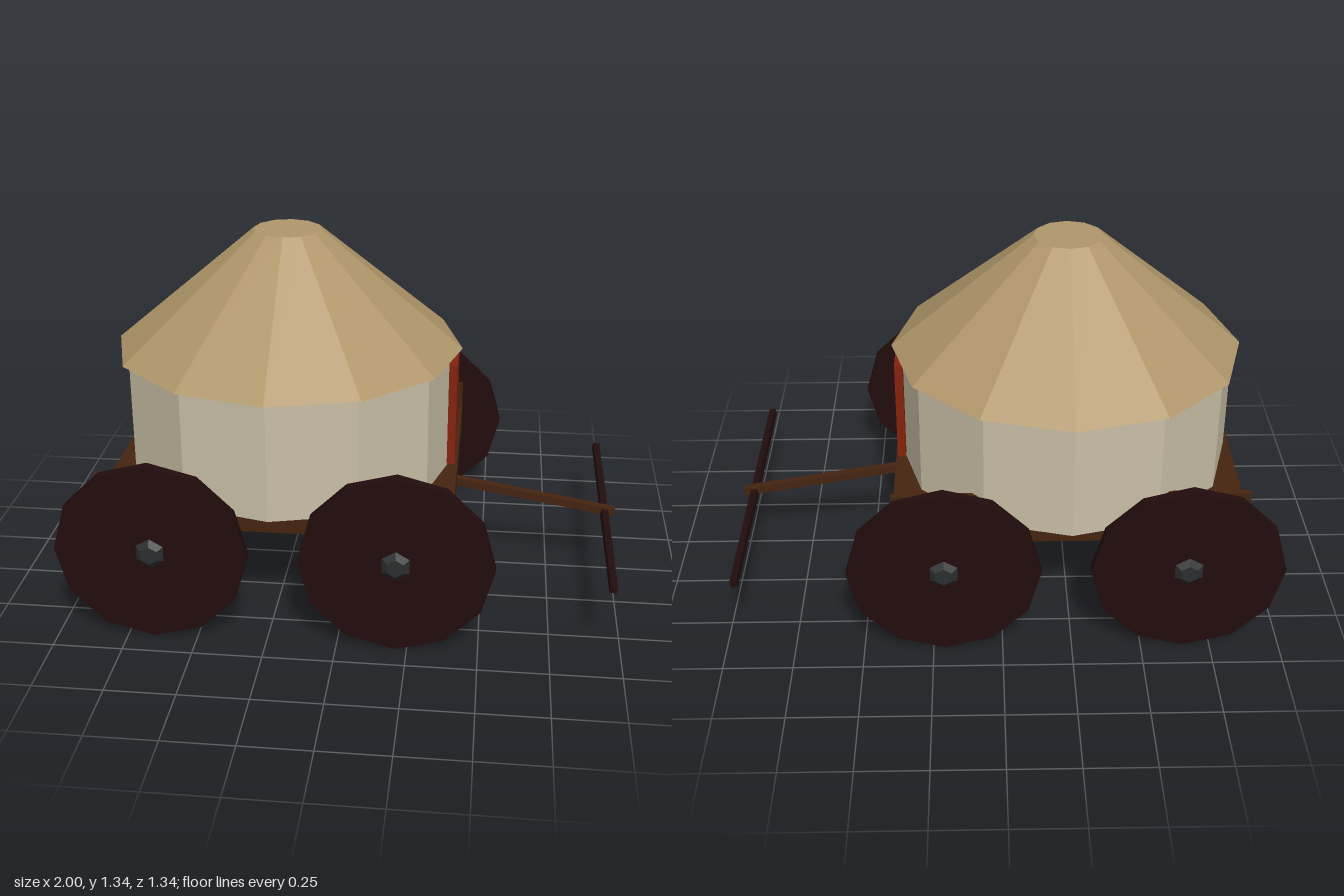
import * as THREE from 'three';

const mat = (name, color) => {
  const m = new THREE.MeshStandardMaterial({ color, flatShading: true });
  m.name = name;
  return m;
};

export function createModel() {
  const thatch = mat('thatch', 0xb0966a);
  const felt = mat('felt', 0xc8bfa5);
  const doorRed = mat('door red', 0x84220e);
  const timber = mat('timber', 0x442410);
  const darkWood = mat('dark wood', 0x220c0d);
  const iron = mat('iron', 0x2b2e2e);

  const model = new THREE.Group();
  model.name = 'hutWagon';
  const add = (name, geometry, material, x, y, z, parent = model) => {
    const mesh = new THREE.Mesh(geometry, material);
    mesh.name = name;
    mesh.position.set(x, y, z);
    parent.add(mesh);
    return mesh;
  };
  const box = (w, h, d) => new THREE.BoxGeometry(w, h, d);

  // Twelve-sided hut, slightly longer than wide, with a corner facing +x
  const cx = -0.245;
  const drum = (top, bottom, height) =>
    new THREE.CylinderGeometry(top, bottom, height, 12).scale(1.052, 1, 1);
  add('wall', drum(0.59, 0.59, 0.445), felt, cx, 0.6725, 0);
  add('roof', drum(0.119, 0.613, 0.44), thatch, cx, 1.115, 0);
  add('door', box(0.03, 0.395, 0.226), doorRed, 0.371, 0.6725, 0);

  // Wagon bed with short side boards beside the wheels
  add('bed', box(1.28, 0.097, 0.98), timber, cx, 0.4015, 0);
  for (const side of [-1, 1]) {
    for (const x of [-0.685, 0.195]) {
      add('sideBoard', box(0.4, 0.2, 0.02), timber, x, 0.4555, side * 0.481);
    }
  }

  // Axles, solid wheels and tapered hubs
  for (const x of [-0.655, 0.208]) {
    add('axle', new THREE.CylinderGeometry(0.016, 0.016, 1.25, 6).rotateX(Math.PI / 2), timber, x, 0.336, 0);
    for (const side of [-1, 1]) {
      const wheel = new THREE.Group();
      wheel.name = 'wheel';
      wheel.position.set(x, 0.335, side * 0.632);
      if (side < 0) wheel.rotation.y = Math.PI;
      model.add(wheel);
      const disc = new THREE.CylinderGeometry(0.335, 0.335, 0.037, 12).rotateX(Math.PI / 2).scale(1.028, 1, 1);
      add('disc', disc, darkWood, 0, 0, 0, wheel);
      const hub = new THREE.CylinderGeometry(0.034, 0.057, 0.02, 6).rotateX(Math.PI / 2);
      add('hub', hub, iron, 0, 0, 0.0275, wheel);
    }
  }

  // Sloping drawbar and its crossbar
  const slope = -0.168;
  add('drawbar', box(0.637, 0.03, 0.03), timber, 0.684, 0.303, 0).rotation.z = slope;
  add('crossbar', box(0.025, 0.025, 1.174), darkWood, 0.96, 0.25, 0).rotation.z = slope;

  return model;
}
